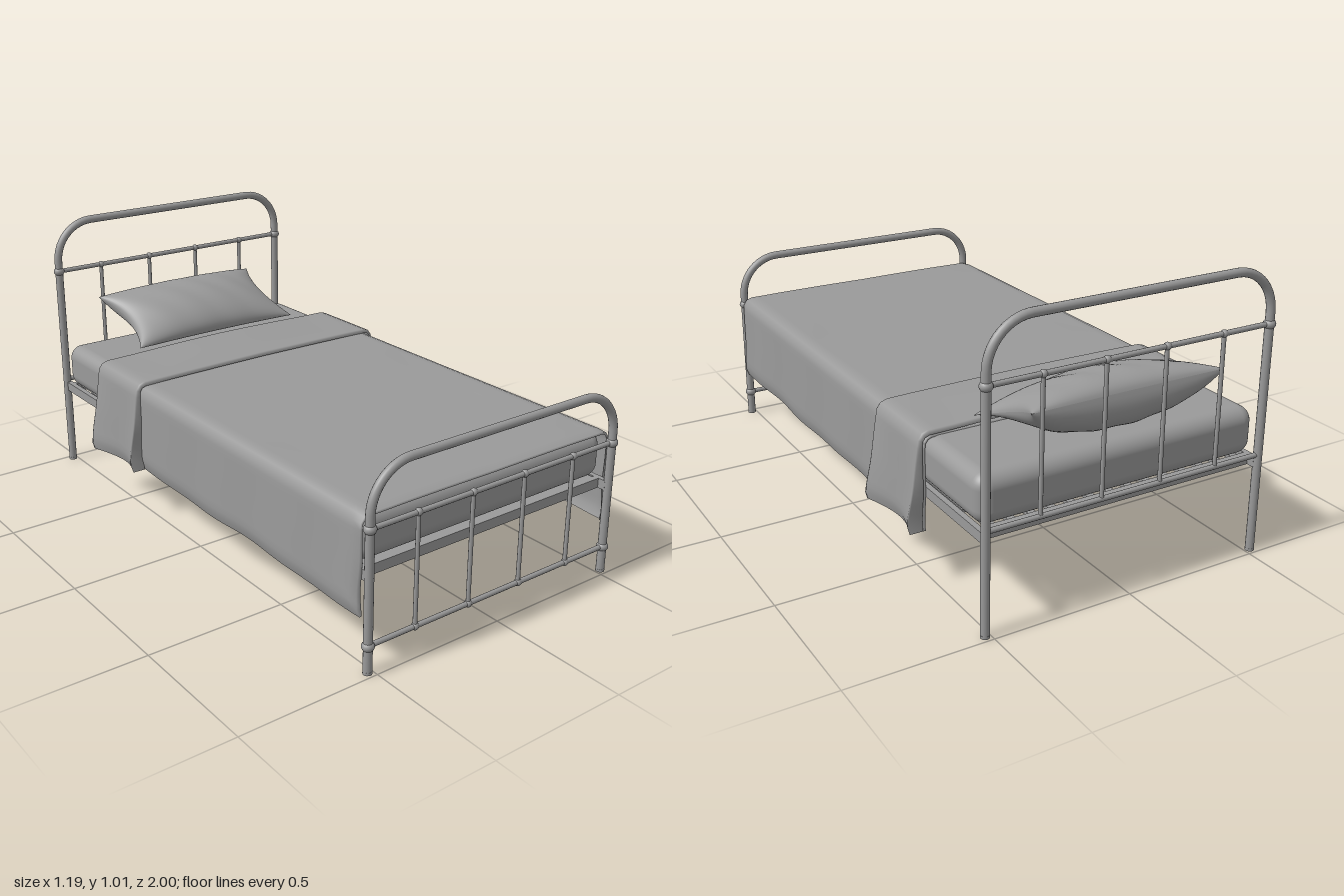
import * as THREE from 'three';
import { RoundedBoxGeometry } from 'three/addons/geometries/RoundedBoxGeometry.js';

const V = (x, y, z) => new THREE.Vector3(x, y, z);
const metal = new THREE.MeshStandardMaterial({ color: 0x9a9a9a });
const cloth = new THREE.MeshStandardMaterial({ color: 0x9a9a9a, side: THREE.DoubleSide });

const POST_X = 0.52, END_Z = 0.977, POST_R = 0.015, BEND = 0.15;
const SPINDLES = [-0.335, -0.113, 0.109, 0.331];

function add(parent, name, geometry, material = metal, x = 0, y = 0, z = 0) {
  const mesh = new THREE.Mesh(geometry, material);
  mesh.name = name;
  mesh.position.set(x, y, z);
  parent.add(mesh);
  return mesh;
}

// Two posts and a top bar bent from one tube
function hoop(height) {
  const top = height - POST_R, k = BEND * 0.4477, xi = POST_X - BEND, yi = top - BEND;
  const path = new THREE.CurvePath();
  path.add(new THREE.LineCurve3(V(-POST_X, 0, 0), V(-POST_X, yi, 0)));
  path.add(new THREE.CubicBezierCurve3(V(-POST_X, yi, 0), V(-POST_X, top - k, 0), V(-POST_X + k, top, 0), V(-xi, top, 0)));
  path.add(new THREE.LineCurve3(V(-xi, top, 0), V(xi, top, 0)));
  path.add(new THREE.CubicBezierCurve3(V(xi, top, 0), V(POST_X - k, top, 0), V(POST_X, top - k, 0), V(POST_X, yi, 0)));
  path.add(new THREE.LineCurve3(V(POST_X, yi, 0), V(POST_X, 0, 0)));
  return new THREE.TubeGeometry(path, 140, POST_R, 16);
}

function crossRail(parent, y) {
  const rail = add(parent, 'crossRail', new THREE.CylinderGeometry(0.009, 0.009, 2 * POST_X, 12), metal, 0, y);
  rail.rotation.z = Math.PI / 2;
}

// Hoop with knobbed cross rails and spindles
function bedEnd(name, z, height, rails, spindleBottom, spindleTop) {
  const end = new THREE.Group();
  end.name = name;
  end.position.z = z;
  add(end, 'hoop', hoop(height));
  for (const x of [-POST_X, POST_X])
    add(end, 'foot', new THREE.CylinderGeometry(0.0155, 0.0155, 0.01, 16), metal, x, 0.005);
  for (const y of rails) {
    crossRail(end, y);
    for (const x of [-POST_X, POST_X])
      add(end, 'postKnob', new THREE.SphereGeometry(0.021, 18, 12), metal, x, y).scale.y = 0.85;
    for (const x of SPINDLES)
      add(end, 'spindleKnob', new THREE.SphereGeometry(0.013, 14, 10), metal, x, y);
  }
  const length = spindleTop - spindleBottom;
  for (const x of SPINDLES)
    add(end, 'spindle', new THREE.CylinderGeometry(0.0075, 0.0075, length, 10), metal, x, spindleBottom + length / 2);
  return end;
}

// Cloth draped over the bed: crowned top, round shoulder, hanging side, turned-in edges
function drape({ half, top, crown, hem, back, front, flare, ripple, lip }) {
  const nx = 72, nz = 48, r = 0.04;
  const geometry = new THREE.PlaneGeometry(2, 2, nx, nz);
  const pos = geometry.attributes.position;
  const flat = half - r, arc = r * Math.PI / 2, drop = top - r - hem;
  for (let i = 0; i < pos.count; i++) {
    const col = i % (nx + 1), row = Math.floor(i / (nx + 1));
    const edge = Math.min(row, nz - row, col, nx - col);
    const inset = edge === 0 ? lip : edge === 1 ? lip * 0.3 : 0;
    const spread = row === 0 || row === nz ? 0 : flare;
    const u = (col / nx) * 2 - 1, side = Math.sign(u);
    const v = THREE.MathUtils.clamp((row - 1) / (nz - 2), 0, 1);
    const s = Math.abs(u) * (flat + arc + drop);
    let z = back + (front - back) * v;
    let x, y;
    if (s < flat) {
      x = s;
      y = top - inset + crown * (1 - (s / flat) ** 2) + 0.002 * Math.sin(5 * s + 7 * z) * Math.min(1, (flat - s) * 8);
    } else if (s < flat + arc) {
      const a = (s - flat) / r;
      x = flat + (r - inset) * Math.sin(a);
      y = top - r + (r - inset) * Math.cos(a);
    } else {
      const t = (s - flat - arc) / drop, e = 2 * v - 1;
      x = half - inset + spread * t * (0.4 + 0.6 * e * e) + ripple * t * Math.sin(17 * z + side);
      y = top - r - t * drop + 0.004 * t * Math.sin(9 * z + 2 * side);
      z += 0.006 * t * Math.sin(8 * t + side);
    }
    pos.setXYZ(i, side * x, y, z);
  }
  geometry.computeVertexNormals();
  return geometry;
}

// Plump pillow: two bulged sheets meeting at a seam, the underside fuller towards the head
function pillow() {
  const group = new THREE.Group();
  group.name = 'pillow';
  for (const face of [1, -1]) {
    const geometry = new THREE.PlaneGeometry(2, 2, 48, 32);
    const pos = geometry.attributes.position;
    for (let i = 0; i < pos.count; i++) {
      const u = Math.sin(pos.getX(i) * Math.PI / 2), v = Math.sin(pos.getY(i) * Math.PI / 2);
      const a = Math.max(0, 1 - u * u), b = Math.max(0, 1 - v * v);
      const crease = 0.003 * Math.sin(14 * u + 5 * v) * a * b;
      const fullness = face > 0 ? 0.084 : 0.09 * (1 - 0.75 * v);
      const h = fullness * Math.pow(a, 0.45) * Math.pow(b, 0.48) + crease;
      pos.setXYZ(i, 0.36 * u * (1 - 0.12 * b), face * h, -face * 0.177 * v * (1 - 0.05 * a));
    }
    geometry.computeVertexNormals();
    add(group, face > 0 ? 'pillowTop' : 'pillowUnderside', geometry, cloth);
  }
  group.position.set(-0.005, 0.617, -0.79);
  group.rotation.x = 0.37;
  return group;
}

export function createModel() {
  const bed = new THREE.Group();
  bed.name = 'bed';

  // Headboard has a plain lower rail at mattress height
  const headboard = bedEnd('headboard', -END_Z, 1.015, [0.81], 0.355, 0.81);
  crossRail(headboard, 0.355);
  bed.add(headboard, bedEnd('footboard', END_Z, 0.69, [0.485, 0.095], 0.095, 0.485));

  // Base frame
  const frame = new THREE.Group();
  frame.name = 'baseFrame';
  bed.add(frame);
  for (const side of [-1, 1]) {
    add(frame, 'sideRail', new THREE.BoxGeometry(0.02, 0.035, 1.95), metal, side * 0.515, 0.328);
    add(frame, 'endRail', new THREE.BoxGeometry(1.03, 0.035, 0.02), metal, 0, 0.328, side * 0.937);
  }
  // Support panel, linked to the head rail by short slats
  add(frame, 'supportPanel', new THREE.BoxGeometry(1.0, 0.012, 1.74), metal, 0, 0.338, 0.065);
  for (let i = 0; i < 14; i++)
    add(frame, 'slat', new THREE.BoxGeometry(0.028, 0.012, 0.14), metal, -0.468 + i * 0.072, 0.335, -0.87);

  // Bedding
  add(bed, 'mattress', new RoundedBoxGeometry(1.05, 0.168, 1.89, 5, 0.05), metal, 0, 0.428, -0.005);
  add(bed, 'blanket', drape({
    half: 0.538, top: 0.522, crown: 0, hem: 0.187, back: -0.62, front: 0.95, flare: 0.009, ripple: 0.003, lip: 0.013,
  }), cloth);
  add(bed, 'turnedDownSheet', drape({
    half: 0.552, top: 0.536, crown: 0.008, hem: 0.192, back: -0.628, front: -0.325, flare: 0.048, ripple: 0.004, lip: 0.014,
  }), cloth);
  bed.add(pillow());

  return bed;
}
